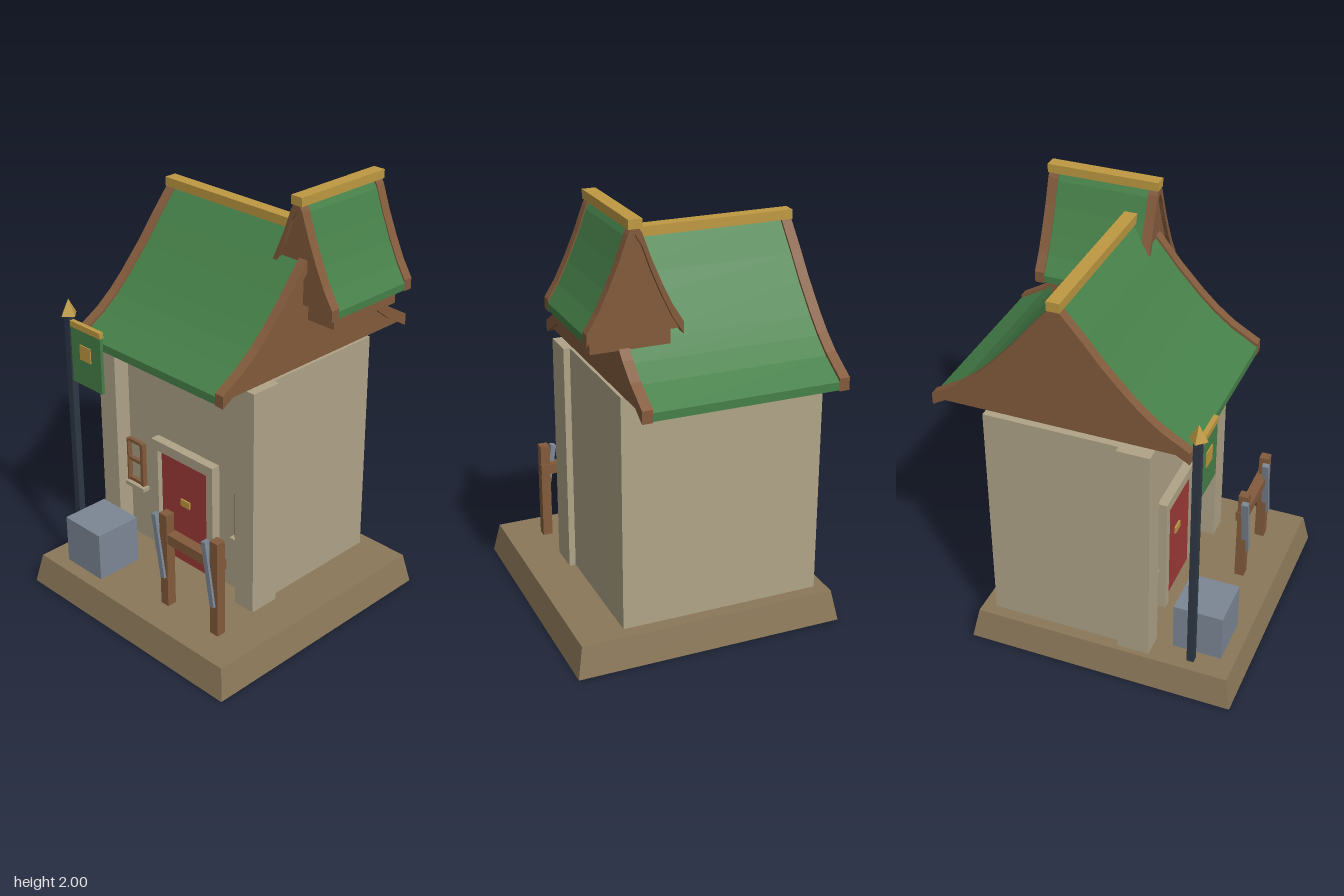
import * as THREE from 'three';

const mat = (name, color) => {
  const m = new THREE.MeshStandardMaterial({ color });
  m.name = name;
  return m;
};

export function createModel() {
  const wall = mat('plaster', 0xb0a488);
  const green = mat('green tiles', 0x468049);
  const wood = mat('brown wood', 0x835b3c);
  const earth = mat('earth', 0x8b7859);
  const red = mat('red paint', 0x9f3a38);
  const gold = mat('gold', 0xbe9942);
  const slate = mat('slate grey', 0x7c8795);
  const dark = mat('dark iron', 0x2e3844);
  const model = new THREE.Group();

  const add = (name, geo, material, parent = model) => {
    const m = new THREE.Mesh(geo, material);
    m.name = name;
    parent.add(m);
    return m;
  };
  // Box given by its limits on each axis
  const box = (name, material, x0, x1, y0, y1, z0, z1, parent = model) => {
    const m = add(name, new THREE.BoxGeometry(x1 - x0, y1 - y0, z1 - z0), material, parent);
    m.position.set((x0 + x1) / 2, (y0 + y1) / 2, (z0 + z1) / 2);
    return m;
  };
  // Four-sided tapered solid with hard edges
  const taper = (rTop, rBottom, h, turn) => {
    const g = new THREE.CylinderGeometry(rTop, rBottom, h, 4).rotateY(turn).toNonIndexed();
    g.computeVertexNormals();
    return g;
  };
  // Extrude an outline between two positions along z
  const slab = (points, z0, z1) => {
    const shape = new THREE.Shape(points.map(([x, y]) => new THREE.Vector2(x, y)));
    return new THREE.ExtrudeGeometry(shape, { depth: z1 - z0, bevelEnabled: false }).translate(0, 0, z0);
  };
  // Both slopes of a profile, from one eave to the other, shifted in height
  const ridgeLine = (profile, dy) => [
    ...profile.slice(1).reverse().map(([d, y]) => [-d, y + dy]),
    ...profile.map(([d, y]) => [d, y + dy]),
  ];
  const sheet = (profile, top, bottom) =>
    [...ridgeLine(profile, top), ...ridgeLine(profile, bottom).reverse()];

  // Curved gable roof whose ridge runs along z from z0 to z1
  const makeRoof = (name, profile, z0, z1, trim, sheetTop, bargeDepth, gableBase, ridge) => {
    const roof = new THREE.Group();
    roof.name = name;
    add('tiles', slab(sheet(profile, sheetTop, -bargeDepth + 0.005), z0 + trim, z1 - trim), green, roof);
    const eave = profile[profile.length - 1][0];
    const gable = [[-eave, gableBase], ...ridgeLine(profile, -0.03), [eave, gableBase]];
    for (const [a, b, inset] of [[z0, z0 + trim, 1], [z1 - trim, z1, -1]]) {
      add('bargeBoard', slab(sheet(profile, 0, -bargeDepth), a, b), wood, roof);
      const mid = (a + b) / 2 + inset * 0.008;
      add('gablePanel', slab(gable, mid - 0.012, mid + 0.012), wood, roof);
    }
    box('ridgeBeam', gold, -0.03, 0.03, ridge[0], ridge[1], z0 - 0.002, z1 + 0.002, roof);
    model.add(roof);
    return roof;
  };

  // Ground plinth
  const plinth = add('plinth', taper(0.605 * Math.SQRT2, 0.633 * Math.SQRT2, 0.145, Math.PI / 4), earth);
  plinth.position.set(0, 0.0725, 0.0725);

  // Walls and front corner pillars
  box('walls', wall, -0.55, 0.39, 0.145, 1.24, -0.47, 0.22);
  box('cornerPillarRight', wall, -0.58, -0.47, 0.145, 1.24, 0.15, 0.3);
  box('cornerPillarLeft', wall, 0.31, 0.42, 0.145, 1.24, 0.15, 0.3);

  // Door with surround and plate
  box('doorJamb', wall, -0.27, -0.23, 0.145, 0.75, 0.2, 0.265);
  box('doorJamb', wall, 0.09, 0.13, 0.145, 0.75, 0.2, 0.265);
  box('doorLintel', wall, -0.23, 0.09, 0.7, 0.75, 0.2, 0.265);
  box('door', red, -0.23, 0.09, 0.145, 0.7, 0.2, 0.24);
  box('doorPlate', gold, -0.1, -0.04, 0.455, 0.49, 0.239, 0.248);

  // Windows partly tucked behind the pillars
  for (const x of [-0.42, 0.31]) {
    const win = new THREE.Group();
    win.name = 'window';
    win.position.x = x;
    for (const y of [0.44, 0.55, 0.65])
      box('windowBar', wood, -0.06, 0.06, y, y + 0.016, 0.21, 0.24, win);
    for (const s of [-0.06, 0.042])
      box('windowPost', wood, s, s + 0.018, 0.44, 0.666, 0.21, 0.245, win);
    box('windowSill', wall, -0.075, 0.075, 0.42, 0.44, 0.21, 0.26, win);
    model.add(win);
  }

  // Main roof, ridge turned to run along x
  const mainProfile = [[0, 1.84], [0.12, 1.7], [0.2, 1.6], [0.31, 1.48], [0.38, 1.413], [0.46, 1.35], [0.585, 1.277]];
  const mainRoof = makeRoof('mainRoof', mainProfile, -0.535, 0.395, 0.047, -0.015, 0.057, 1.24, [1.81, 1.853]);
  mainRoof.rotation.y = Math.PI / 2;
  mainRoof.position.z = -0.13;

  // Small side turret: block and steep roof
  box('turretBlock', wood, 0.17, 0.52, 1.445, 1.527, -0.47, -0.07);
  const smallProfile = [[0, 1.99], [0.03, 1.94], [0.07, 1.83], [0.115, 1.725], [0.16, 1.632], [0.208, 1.555]];
  const turretRoof = makeRoof('turretRoof', smallProfile, -0.533, -0.017, 0.045, -0.014, 0.052, 1.525, [1.96, 2]);
  turretRoof.position.x = 0.345;

  // Banner pole
  box('bannerPole', dark, -0.554, -0.521, 0.145, 1.36, 0.473, 0.506);
  add('poleFinial', taper(0, 0.042, 0.075, 0), gold).position.set(-0.5375, 1.397, 0.49);
  box('banner', green, -0.522, -0.322, 1.04, 1.315, 0.482, 0.498);
  box('bannerRod', gold, -0.525, -0.32, 1.31, 1.338, 0.479, 0.501);
  box('bannerEmblem', gold, -0.46, -0.388, 1.168, 1.24, 0.497, 0.503);

  // Stone block
  box('stoneBlock', slate, -0.488, -0.254, 0.145, 0.38, 0.383, 0.613);

  // Rack with leaning iron bars
  for (const x of [0.097, 0.413])
    box('rackPost', wood, x - 0.023, x + 0.023, 0.145, 0.62, 0.488, 0.534);
  box('rackRail', wood, 0.07, 0.437, 0.475, 0.525, 0.48, 0.53);
  for (const x of [0.073, 0.387]) {
    const bar = add('leaningBar', new THREE.BoxGeometry(0.025, 0.315, 0.032), slate);
    bar.position.set(x, 0.45, 0.53);
    bar.rotation.z = 0.165;
  }

  return model;
}
